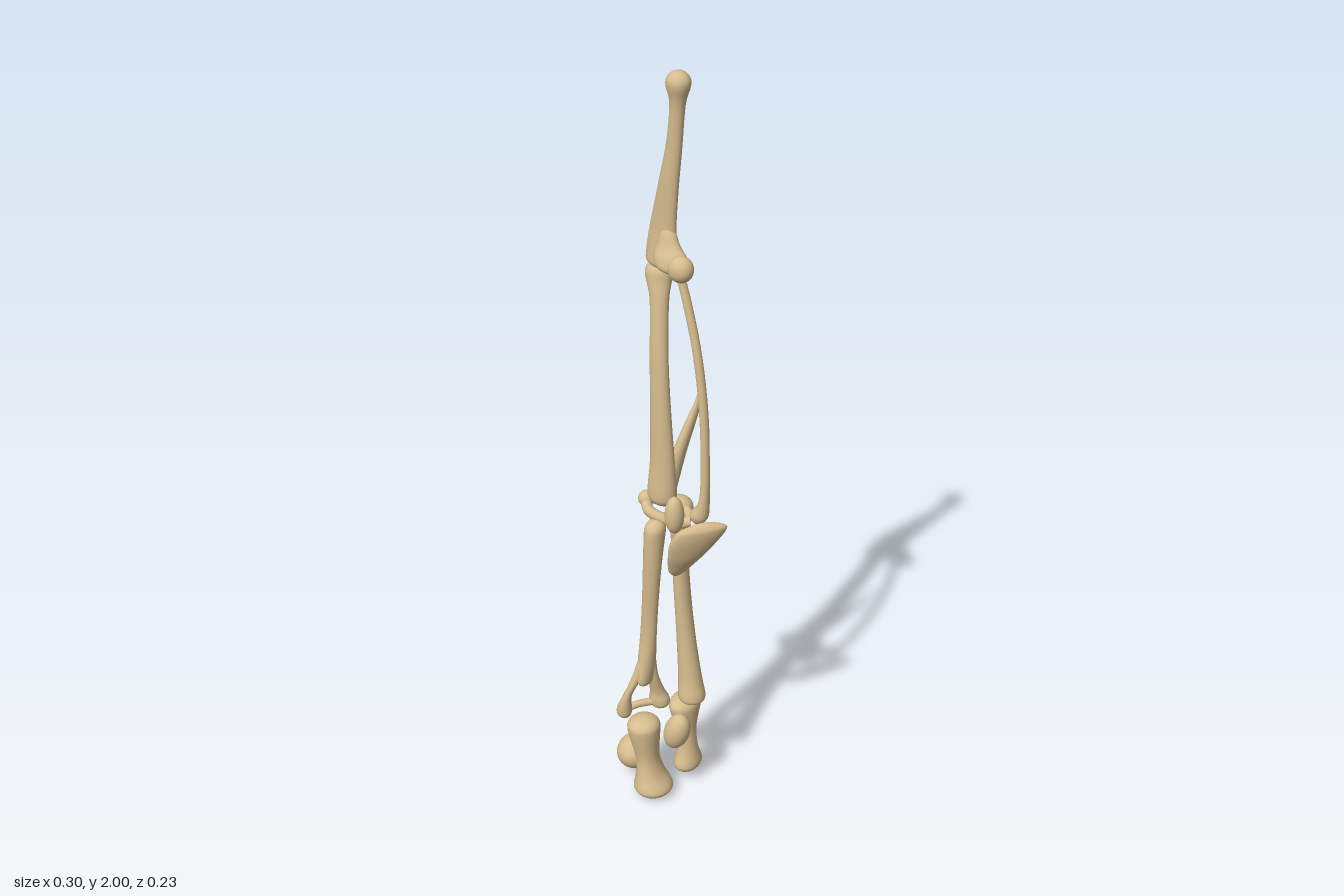
import * as THREE from 'three';

const bone = new THREE.MeshStandardMaterial({ color: 0xd6bc8e });
bone.name = 'bone';

// Smooth closed bone lofted from rows [x, y, z, radiusX, radiusZ], listed top to bottom.
// capTop and capEnd are the heights over which the ends round off; turn spins the cross-section.
function loft(name, rows, { capTop = 0.03, capEnd = 0.03, turn = 0, steps = 44, sides = 24 } = {}) {
  const centre = new THREE.CatmullRomCurve3(rows.map(r => new THREE.Vector3(r[0], r[1], r[2])), false, 'catmullrom', 0.5);
  const radius = new THREE.CatmullRomCurve3(rows.map(r => new THREE.Vector3(r[3], r[4], 0)), false, 'catmullrom', 0.5);
  const top = rows[0][1], end = rows[rows.length - 1][1];
  const round = (d, c) => Math.sqrt(Math.max(0, 1 - (1 - Math.min(Math.max(d / c, 0), 1)) ** 2));
  const pos = [], idx = [];
  for (let i = 0; i <= steps; i++) {
    const t = (1 - Math.cos(Math.PI * i / steps)) / 2;
    const c = centre.getPoint(t), r = radius.getPoint(t);
    const k = Math.max(0.001, round(top - c.y, capTop) * round(c.y - end, capEnd));
    for (let j = 0; j < sides; j++) {
      const a = 2 * Math.PI * j / sides;
      const u = Math.cos(a) * r.x * k, w = Math.sin(a) * r.y * k;
      pos.push(c.x + u * Math.cos(turn) - w * Math.sin(turn), c.y, c.z + u * Math.sin(turn) + w * Math.cos(turn));
      if (i < steps) {
        const n = (j + 1) % sides, p = i * sides;
        idx.push(p + j, p + n, p + sides + j, p + n, p + sides + n, p + sides + j);
      }
    }
  }
  const g = new THREE.BufferGeometry();
  g.setAttribute('position', new THREE.Float32BufferAttribute(pos, 3));
  g.setIndex(idx);
  g.computeVertexNormals();
  const m = new THREE.Mesh(g, bone);
  m.name = name;
  return m;
}

function pebble(name, [x, y, z], [rx, ry, rz], tilt = 0) {
  const m = new THREE.Mesh(new THREE.SphereGeometry(1, 28, 18), bone);
  m.position.set(x, y, z);
  m.scale.set(rx, ry, rz);
  m.rotation.z = tilt;
  m.name = name;
  return m;
}

function tube(name, points, r) {
  const curve = new THREE.CatmullRomCurve3(points.map(p => new THREE.Vector3(...p)));
  const m = new THREE.Mesh(new THREE.TubeGeometry(curve, 28, r, 12), bone);
  m.name = name;
  return m;
}

export function createModel() {
  const model = new THREE.Group();
  model.name = 'limbBones';

  // Upper bone with round head, flared blade and side knob
  model.add(
    loft('upperBone', [
      [0.01, 2.0, -0.015, 0.03, 0.03], [0.01, 1.965, -0.015, 0.029, 0.028],
      [0.008, 1.92, -0.015, 0.019, 0.018], [-0.002, 1.82, -0.017, 0.021, 0.016],
      [-0.02, 1.71, -0.02, 0.029, 0.017], [-0.036, 1.61, -0.025, 0.038, 0.018],
      [-0.04, 1.55, -0.025, 0.045, 0.021], [-0.043, 1.5, -0.022, 0.044, 0.022],
    ], { capEnd: 0.02, turn: 0.2 }),
    loft('upperBoneFlare', [
      [-0.02, 1.62, -0.02, 0.015, 0.014], [-0.012, 1.575, -0.01, 0.028, 0.018],
      [0, 1.545, 0, 0.045, 0.024], [0.005, 1.51, 0.008, 0.04, 0.024],
    ], { capEnd: 0.02 }),
    pebble('upperBoneKnob', [0.034, 1.53, 0.012], [0.032, 0.033, 0.028]));

  // Middle bone, rising spur and slender bowed bone
  model.add(
    loft('middleBone', [
      [-0.05, 1.515, -0.028, 0.036, 0.028], [-0.049, 1.475, -0.026, 0.034, 0.028],
      [-0.038, 1.42, -0.01, 0.024, 0.02], [-0.028, 1.28, 0.008, 0.024, 0.018],
      [-0.021, 1.12, 0.012, 0.028, 0.02], [-0.018, 1.0, 0.01, 0.033, 0.023],
      [-0.02, 0.92, 0.008, 0.038, 0.03], [-0.02, 0.87, 0.006, 0.038, 0.031],
    ]),
    loft('middleBoneSpur', [
      [0.041, 1.195, -0.077, 0.004, 0.004], [0.038, 1.15, -0.067, 0.007, 0.012],
      [0.027, 1.09, -0.044, 0.012, 0.019], [0.012, 1.02, -0.022, 0.016, 0.022],
      [-0.005, 0.93, -0.008, 0.018, 0.02], [-0.01, 0.88, -0.002, 0.015, 0.015],
    ], { capTop: 0.01 }),
    loft('slenderBone', [
      [0.008, 1.5, -0.025, 0.01, 0.011], [0.033, 1.42, -0.022, 0.011, 0.011],
      [0.064, 1.3, -0.016, 0.011, 0.011], [0.085, 1.15, -0.012, 0.011, 0.012],
      [0.094, 1.0, -0.006, 0.011, 0.012], [0.093, 0.91, -0.004, 0.013, 0.016],
      [0.08, 0.87, -0.004, 0.024, 0.022], [0.075, 0.84, -0.004, 0.022, 0.02],
    ], { capTop: 0.015 }));

  // Joint: leaf-shaped plate, small pebbles and curved pads
  model.add(
    loft('jointPlate', [
      [0.108, 0.866, 0.022, 0.05, 0.014], [0.105, 0.845, 0.027, 0.066, 0.016],
      [0.088, 0.81, 0.034, 0.064, 0.019], [0.065, 0.76, 0.036, 0.046, 0.019],
      [0.042, 0.715, 0.032, 0.027, 0.015], [0.033, 0.69, 0.03, 0.018, 0.011],
    ], { capTop: 0.02, turn: -0.85 }),
    pebble('jointPebble', [0.037, 0.877, 0.043], [0.024, 0.051, 0.025]),
    tube('jointPadFront', [[-0.066, 0.878, 0.01], [-0.042, 0.862, 0.036], [-0.005, 0.85, 0.034], [0.03, 0.835, 0.012], [0.055, 0.84, -0.004]], 0.014),
    tube('jointPadBack', [[-0.066, 0.878, 0.01], [-0.04, 0.862, -0.022], [0, 0.856, -0.034], [0.035, 0.845, -0.025], [0.055, 0.84, -0.004]], 0.014),
    pebble('jointPadTip', [-0.064, 0.877, 0.012], [0.02, 0.02, 0.022], -0.5));

  // Lower back bone
  model.add(loft('lowerBackBone', [
    [0.0, 0.875, -0.04, 0.036, 0.034], [0.0, 0.83, -0.042, 0.033, 0.032],
    [0.0, 0.75, -0.042, 0.021, 0.025], [0.006, 0.62, -0.042, 0.02, 0.025],
    [0.018, 0.47, -0.043, 0.024, 0.025], [0.032, 0.34, -0.042, 0.031, 0.029],
    [0.039, 0.285, -0.04, 0.036, 0.035], [0.039, 0.255, -0.04, 0.034, 0.033],
  ], { capEnd: 0.02 }));

  // Lower front bone with a forked foot
  model.add(
    loft('lowerFrontBone', [
      [-0.014, 0.85, 0.045, 0.027, 0.03], [-0.016, 0.81, 0.05, 0.026, 0.03],
      [-0.02, 0.72, 0.055, 0.024, 0.022], [-0.03, 0.6, 0.05, 0.022, 0.018],
      [-0.038, 0.5, 0.046, 0.022, 0.018], [-0.043, 0.42, 0.046, 0.022, 0.026],
      [-0.045, 0.36, 0.05, 0.018, 0.03], [-0.045, 0.335, 0.05, 0.015, 0.025],
    ], { capEnd: 0.02 }),
    loft('forkInnerArm', [
      [-0.04, 0.44, 0.038, 0.014, 0.014], [-0.038, 0.36, 0.03, 0.016, 0.014],
      [-0.034, 0.3, 0.012, 0.02, 0.017], [-0.032, 0.27, 0.005, 0.028, 0.024],
      [-0.032, 0.24, 0.005, 0.027, 0.023],
    ], { capEnd: 0.02 }),
    loft('forkOuterArm', [
      [-0.044, 0.44, 0.05, 0.014, 0.014], [-0.058, 0.37, 0.068, 0.013, 0.014],
      [-0.078, 0.31, 0.085, 0.011, 0.013], [-0.09, 0.265, 0.083, 0.019, 0.02],
      [-0.092, 0.23, 0.08, 0.019, 0.019],
    ], { capEnd: 0.02 }),
    tube('forkSideStrut', [[-0.05, 0.38, 0.05], [-0.082, 0.32, 0.055], [-0.104, 0.27, 0.06], [-0.092, 0.25, 0.075]], 0.008),
    tube('forkBridge', [[-0.09, 0.255, 0.08], [-0.072, 0.262, 0.055], [-0.05, 0.262, 0.028], [-0.032, 0.26, 0.008]], 0.01));

  // Foot bones
  model.add(
    loft('frontFootBone', [
      [-0.041, 0.243, 0.066, 0.044, 0.045], [-0.041, 0.2, 0.066, 0.042, 0.044],
      [-0.032, 0.12, 0.064, 0.03, 0.035], [-0.024, 0.07, 0.063, 0.036, 0.043],
      [-0.015, 0.03, 0.063, 0.051, 0.054], [-0.014, 0, 0.063, 0.045, 0.05],
    ]),
    loft('backFootBone', [
      [0.008, 0.26, -0.055, 0.036, 0.054], [0.01, 0.225, -0.055, 0.037, 0.052],
      [0.018, 0.16, -0.047, 0.026, 0.032], [0.024, 0.1, -0.044, 0.027, 0.031],
      [0.026, 0.055, -0.045, 0.034, 0.046], [0.026, 0.025, -0.046, 0.031, 0.043],
    ]),
    pebble('anklePebble', [0.035, 0.2, 0.026], [0.034, 0.057, 0.032], -0.3),
    pebble('heelPebble', [-0.1, 0.075, 0.018], [0.048, 0.047, 0.052], 0.3));

  return model;
}
